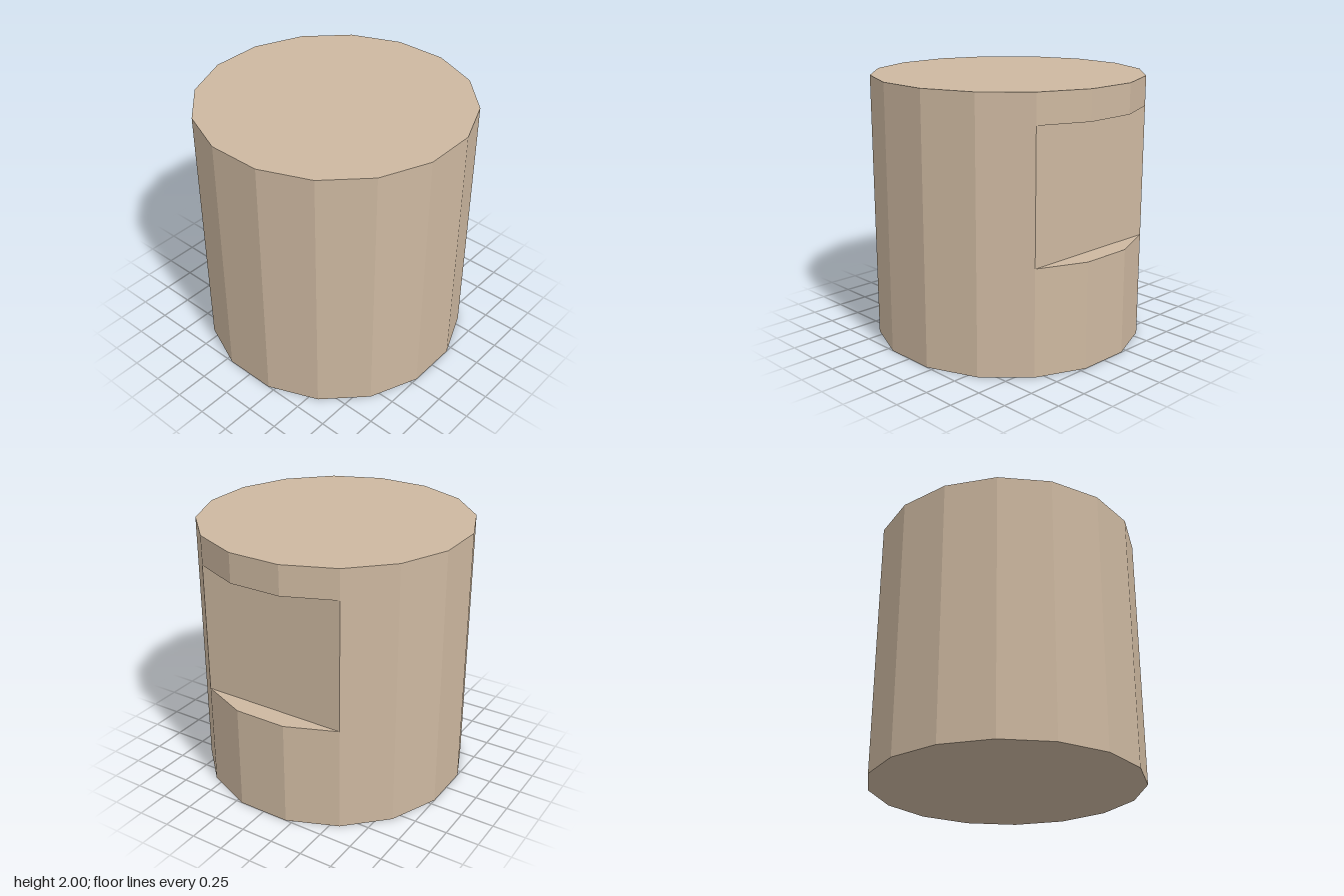
import * as THREE from 'three';

const SIDES = 16;
const STEP = (2 * Math.PI) / SIDES;
const RADIUS = 1 / Math.cos(STEP / 2); // flats lie 1 unit from the axis
const HEIGHT = 2;
const NOTCH_BOTTOM = 0.8;
const NOTCH_TOP = 1.78;
const NOTCH_HALF = 1.5 * STEP; // the notch spans three back facets

export function createModel() {
  const model = new THREE.Group();
  model.name = 'notchedDrum';
  const material = new THREE.MeshStandardMaterial({ color: 0xcdb8a0, flatShading: true });

  const add = (name, geometry) => {
    const mesh = new THREE.Mesh(geometry, material);
    mesh.name = name;
    model.add(mesh);
  };

  // Open faceted band between two heights
  const band = (y0, y1, start, sides) =>
    new THREE.CylinderGeometry(RADIUS, RADIUS, y1 - y0, sides, 1, true, start, sides * STEP)
      .translate(0, (y0 + y1) / 2, 0);

  // Lay a flat XY geometry level, facing up or down
  const level = (geometry, y, up) => {
    geometry.rotateX(-Math.PI / 2);
    if (!up) geometry.rotateZ(Math.PI);
    return geometry.translate(0, y, 0);
  };

  // Walls: full height around the front, split above and below the notch
  const backStart = Math.PI - NOTCH_HALF;
  add('mainWall', band(0, HEIGHT, Math.PI + NOTCH_HALF, SIDES - 3));
  add('lowerBackWall', band(0, NOTCH_BOTTOM, backStart, 3));
  add('upperBackWall', band(NOTCH_TOP, HEIGHT, backStart, 3));

  // End caps
  const cap = () => new THREE.CircleGeometry(RADIUS, SIDES, STEP / 2);
  add('topCap', level(cap(), HEIGHT, true));
  add('bottomCap', level(cap(), 0, false));

  // Notch floor and ceiling: the sliver between the chord and the facets
  const outline = [-1.5, -0.5, 0.5, 1.5].map(
    (k) => new THREE.Vector2(RADIUS * Math.sin(k * STEP), RADIUS * Math.cos(k * STEP)));
  const ledge = () => new THREE.ShapeGeometry(new THREE.Shape(outline));
  add('notchFloor', level(ledge(), NOTCH_BOTTOM, true));
  add('notchCeiling', level(ledge(), NOTCH_TOP, false));

  // Flat panel at the back of the notch
  const panel = new THREE.PlaneGeometry(2 * RADIUS * Math.sin(NOTCH_HALF), NOTCH_TOP - NOTCH_BOTTOM);
  panel.rotateY(Math.PI);
  panel.translate(0, (NOTCH_TOP + NOTCH_BOTTOM) / 2, -RADIUS * Math.cos(NOTCH_HALF));
  add('notchPanel', panel);

  return model;
}
